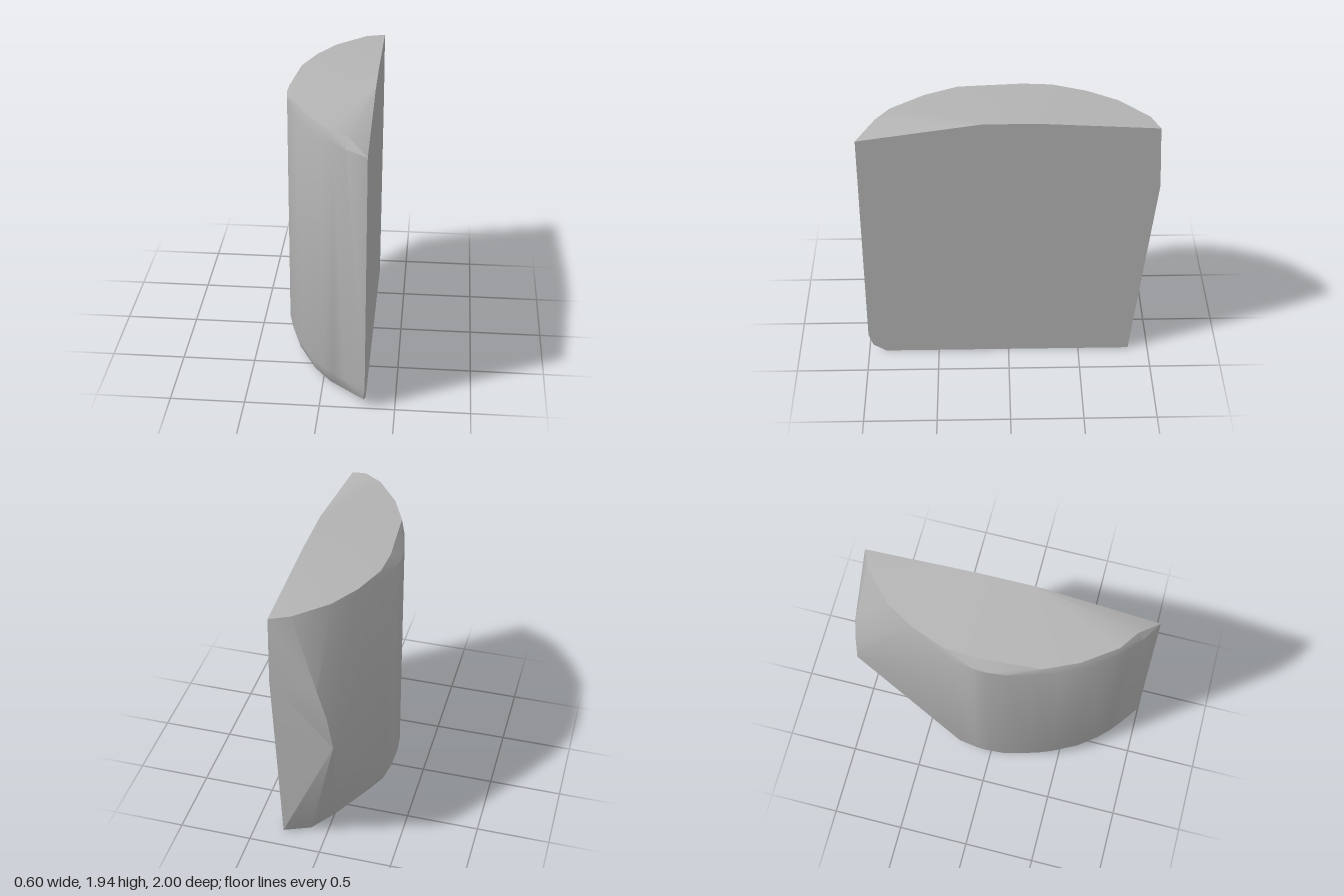
import * as THREE from 'three';
import { ConvexGeometry } from 'three/addons/geometries/ConvexGeometry.js';
import { toCreasedNormals } from 'three/addons/utils/BufferGeometryUtils.js';

// Turns a list of [x, z] outline points into 3D points at height y
const ring = (outline, y) => outline.map(([x, z]) => new THREE.Vector3(x, y, z));

export function createModel() {
  const grey = new THREE.MeshStandardMaterial({ color: 0xb4b4b4 });
  grey.name = 'plain grey';

  // Bowed wall, from the front corner round to where it runs off to the back
  const wall = [[0.3, 1], [0.16, 0.9], [0.08, 0.835], [0, 0.755], [-0.1, 0.625], [-0.19, 0.45],
    [-0.25, 0.28], [-0.29, 0.12], [-0.303, 0], [-0.3, -0.1], [-0.28, -0.235]];

  // Lower and upper cap outlines, pulled in from the wall to form the bevels
  const bottom = [[0.3, 0.88], [0.18, 0.8], [0.05, 0.71], [-0.1, 0.48], [-0.19, 0.2], [-0.22, 0],
    [-0.18, -0.29], [0, -0.62], [0.12, -0.79], [0.3, -0.86]];
  const lowBevel = [[0.29, 0.97], [0.1, 0.79], [-0.06, 0.63], [-0.19, 0.37], [-0.265, 0.1],
    [-0.275, -0.06], [-0.25, -0.22]];
  const top = [[0.17, 0.86], [0.04, 0.77], [-0.12, 0.55], [-0.22, 0.33], [-0.235, 0.1],
    [-0.25, -0.1], [-0.235, -0.3], [-0.15, -0.53], [-0.03, -0.73], [0.04, -0.78], [0.17, -0.92]];

  const points = [
    ...ring(bottom, 0.003),
    ...ring(lowBevel, 0.05),
    ...ring(wall, 0.15),
    ...ring(wall.slice(1), 1.83),
    ...ring(top, 1.9),
    // Flat side: front corner, raised top edge and back corners
    ...ring([[0.3, 0.88], [0.3, -0.86]], 0),
    ...ring([[0.3, 0.97]], 0.06),
    ...ring([[0.3, 0.985]], 1.82),
    ...ring([[0.3, 0.17], [0.3, -0.2]], 1.94),
    ...ring([[0.3, -0.975]], 1.895),
    // Upright back facet ending in a point
    ...ring([[0.3, -1]], 1.44),
    ...ring([[-0.01, -1]], 1.41),
    ...ring([[-0.07, -1]], 1.2),
    ...ring([[-0.11, -1]], 0.97),
  ];

  const body = new THREE.Mesh(toCreasedNormals(new ConvexGeometry(points), 0.5), grey);
  body.name = 'bowedBlock';

  const model = new THREE.Group();
  model.name = 'halfRoundBlock';
  model.add(body);
  return model;
}
